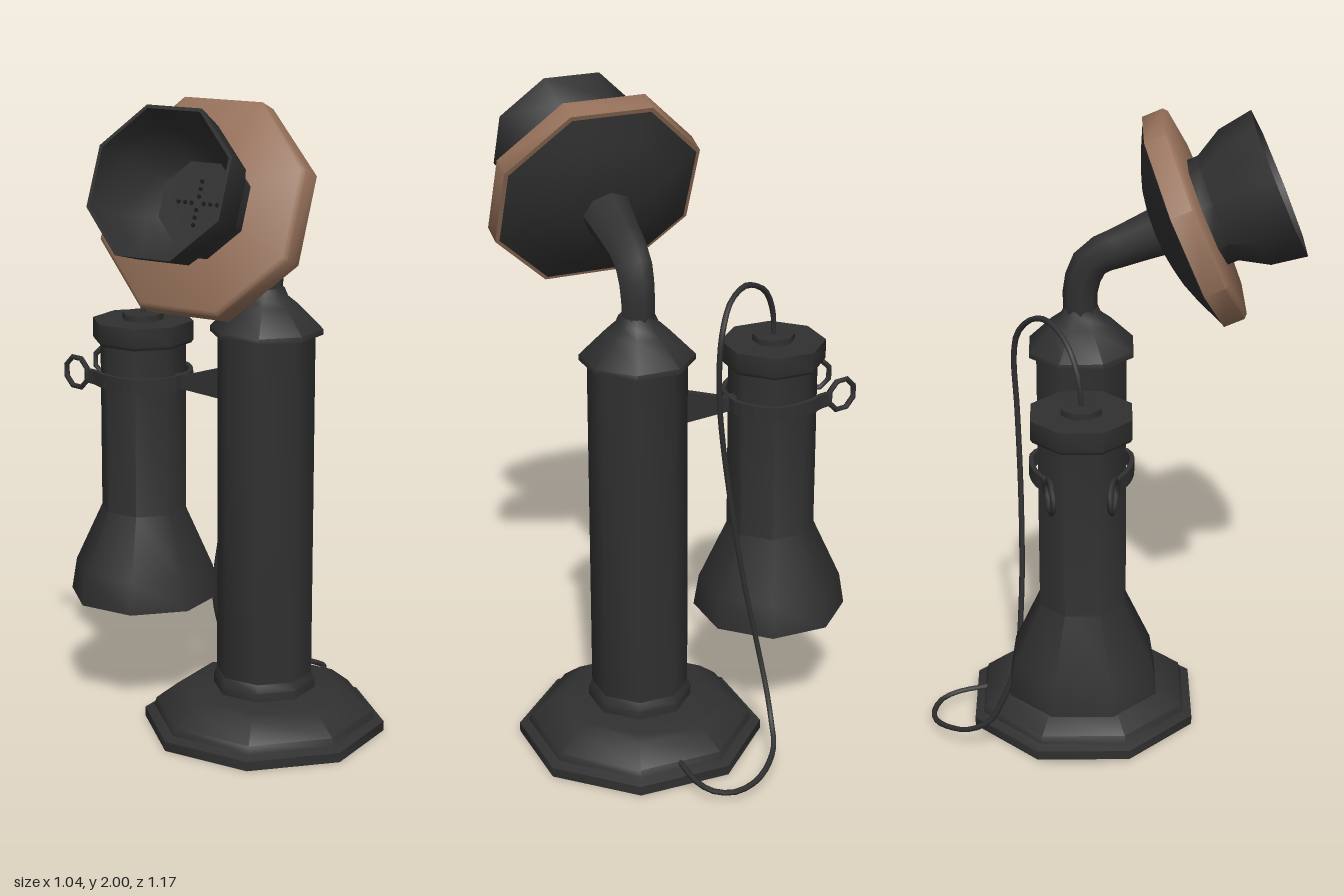
import * as THREE from 'three';
import { toCreasedNormals } from 'three/addons/utils/BufferGeometryUtils.js';

const black = new THREE.MeshStandardMaterial({ color: 0x303030 });
black.name = 'black enamel';
const brown = new THREE.MeshStandardMaterial({ color: 0x96715a });
brown.name = 'brown wood';
const holeBlack = new THREE.MeshStandardMaterial({ color: 0x141414 });
holeBlack.name = 'hole black';

const CORNER = 1 / Math.cos(Math.PI / 8);

function part(name, geometry, material = black) {
  const mesh = new THREE.Mesh(geometry, material);
  mesh.name = name;
  return mesh;
}

// Eight-sided turned part; the profile lists [half width across flats, height]
function turned(name, profile, material) {
  const points = profile.map(([r, y]) => new THREE.Vector2(r * CORNER, y));
  const geometry = new THREE.LatheGeometry(points, 8, Math.PI / 8);
  return part(name, toCreasedNormals(geometry, 0.85), material);
}

const curveThrough = (points) =>
  new THREE.CatmullRomCurve3(points.map((p) => new THREE.Vector3(...p)));

// Tube whose radius follows a rule along its length
function taperedTube(curve, steps, radiusAt) {
  const sides = 8;
  const geometry = new THREE.TubeGeometry(curve, steps, 1, sides);
  const pos = geometry.attributes.position;
  const v = new THREE.Vector3();
  for (let i = 0; i < pos.count; i++) {
    const t = Math.floor(i / (sides + 1)) / steps;
    const centre = curve.getPointAt(t);
    v.fromBufferAttribute(pos, i).sub(centre).multiplyScalar(radiusAt(t)).add(centre);
    pos.setXYZ(i, v.x, v.y, v.z);
  }
  geometry.computeVertexNormals();
  return geometry;
}

// Upright flat strip following a path of [x, z] points
function strip(points, bottom, height, thickness) {
  const curve = curveThrough(points.map(([x, z]) => [x, -z, 0]));
  const left = [], right = [];
  for (let i = 0; i <= 16; i++) {
    const p = curve.getPoint(i / 16), t = curve.getTangent(i / 16);
    const dx = -t.y * thickness / 2, dy = t.x * thickness / 2;
    left.push(new THREE.Vector2(p.x + dx, p.y + dy));
    right.unshift(new THREE.Vector2(p.x - dx, p.y - dy));
  }
  const geometry = new THREE.ExtrudeGeometry(new THREE.Shape([...left, ...right]),
    { depth: height, bevelEnabled: false });
  return geometry.rotateX(-Math.PI / 2).translate(0, bottom, 0);
}

function createStand() {
  const stand = new THREE.Group();
  stand.name = 'stand';
  stand.position.set(0.17, 0, -0.09);
  stand.add(
    turned('base', [[0, 0], [0.352, 0], [0.352, 0.03], [0.325, 0.042], [0.318, 0.065],
      [0.255, 0.118], [0.225, 0.13], [0, 0.137]]),
    turned('columnFoot', [[0.148, 0.13], [0.148, 0.16], [0.138, 0.185]]),
    turned('column', [[0.138, 0.13], [0.138, 1.275]]),
    turned('columnCap', [[0, 1.268], [0.16, 1.268], [0.16, 1.285], [0.09, 1.36],
      [0.06, 1.385], [0.05, 1.41], [0, 1.41]]),
  );
  return stand;
}

function createMouthpiece() {
  const mouth = new THREE.Group();
  mouth.name = 'mouthpiece';
  mouth.position.set(0.165, 1.713, 0.29);
  mouth.rotation.x = 1.17;
  mouth.add(
    turned('woodenDisc', [[0, -0.079], [0.312, -0.079], [0.312, -0.012], [0.3, 0], [0, 0]], brown),
    turned('discBack', [[0, -0.165], [0.09, -0.16], [0.16, -0.146], [0.22, -0.122],
      [0.3, -0.082], [0, -0.078]]),
    turned('horn', [[0.155, -0.01], [0.155, 0.035], [0.2, 0.12], [0.216, 0.232],
      [0.206, 0.232], [0.19, 0.122], [0.14, 0.035], [0.12, 0.008], [0, 0.004]]),
  );
  // Cross of speaking holes in the bottom of the horn
  const dot = new THREE.CylinderGeometry(0.006, 0.006, 0.004, 8);
  for (let i = 0; i < 4; i++) {
    for (const r of [0.02, 0.042, 0.064]) {
      const hole = part('speakingHole', dot, holeBlack);
      const a = i * Math.PI / 2;
      hole.position.set(r * Math.cos(a), 0.009, r * Math.sin(a));
      mouth.add(hole);
    }
  }
  return mouth;
}

function createReceiver() {
  const receiver = new THREE.Group();
  receiver.name = 'receiver';
  receiver.position.set(-0.277, 0, -0.09);
  receiver.add(
    turned('receiverBody', [[0, 0.385], [0.19, 0.375], [0.205, 0.36], [0.221, 0.36],
      [0.206, 0.46], [0.126, 0.65], [0.126, 1.2]]),
    turned('receiverCap', [[0, 1.19], [0.142, 1.19], [0.148, 1.2], [0.148, 1.26], [0, 1.262]]),
    turned('cordNub', [[0.06, 1.25], [0.06, 1.28], [0, 1.282]]),
  );
  return receiver;
}

function createCradle() {
  const cradle = new THREE.Group();
  cradle.name = 'cradle';
  cradle.position.z = -0.09;
  // Tapered bracket between column and fork
  const side = new THREE.Shape();
  [[0.045, 1.04], [0.045, 1.145], [0.015, 1.14], [-0.115, 1.1], [-0.15, 1.1],
    [-0.15, 1.055], [-0.115, 1.055]].forEach(([x, y], i) => (i ? side.lineTo(x, y) : side.moveTo(x, y)));
  const bracket = new THREE.ExtrudeGeometry(side, { depth: 0.03, bevelEnabled: false });
  cradle.add(part('bracket', bracket.translate(0, 0, -0.015)));
  // Mirrored fork prongs, each ending in a ring
  for (const s of [1, -1]) {
    const path = [[-0.13, 0], [-0.138, 0.06], [-0.21, 0.14], [-0.277, 0.147],
      [-0.345, 0.13], [-0.385, 0.108], [-0.415, 0.1]].map(([x, z]) => [x, s * z]);
    cradle.add(part('prong', strip(path, 1.058, 0.044, 0.014)));
    const ring = part('prongRing', new THREE.TorusGeometry(0.05, 0.009, 6, 8));
    ring.position.set(-0.468, 1.083, s * 0.09);
    ring.rotation.set(0, -s * 0.2, 0);
    ring.geometry.rotateZ(Math.PI / 8);
    cradle.add(ring);
  }
  return cradle;
}

export function createModel() {
  const model = new THREE.Group();
  model.name = 'candlestickTelephone';
  model.add(createStand(), createMouthpiece(), createReceiver(), createCradle());

  // Bent neck that widens toward the mouthpiece
  const neck = curveThrough([[0.167, 1.36, -0.09], [0.167, 1.48, -0.09], [0.167, 1.562, -0.055],
    [0.166, 1.61, 0.045], [0.165, 1.675, 0.2]]);
  model.add(part('neck', taperedTube(neck, 10, (t) => 0.052 + 0.034 * t * t)));

  // Cord from the receiver, down behind the column and round to the base
  const cord = curveThrough([[-0.277, 1.27, -0.09], [-0.272, 1.35, -0.095], [-0.235, 1.43, -0.12],
    [-0.17, 1.475, -0.16], [-0.12, 1.485, -0.195], [-0.06, 1.46, -0.24], [-0.02, 1.4, -0.28],
    [-0.005, 1.32, -0.292], [-0.01, 1.15, -0.285], [-0.05, 0.85, -0.277], [-0.1, 0.55, -0.28],
    [-0.14, 0.33, -0.3], [-0.15, 0.2, -0.345], [-0.145, 0.12, -0.39], [-0.12, 0.075, -0.46],
    [-0.06, 0.05, -0.53], [0, 0.036, -0.568], [0.07, 0.028, -0.578], [0.13, 0.035, -0.555],
    [0.16, 0.045, -0.5], [0.17, 0.06, -0.4]]);
  model.add(part('cord', new THREE.TubeGeometry(cord, 70, 0.009, 6)));
  return model;
}
